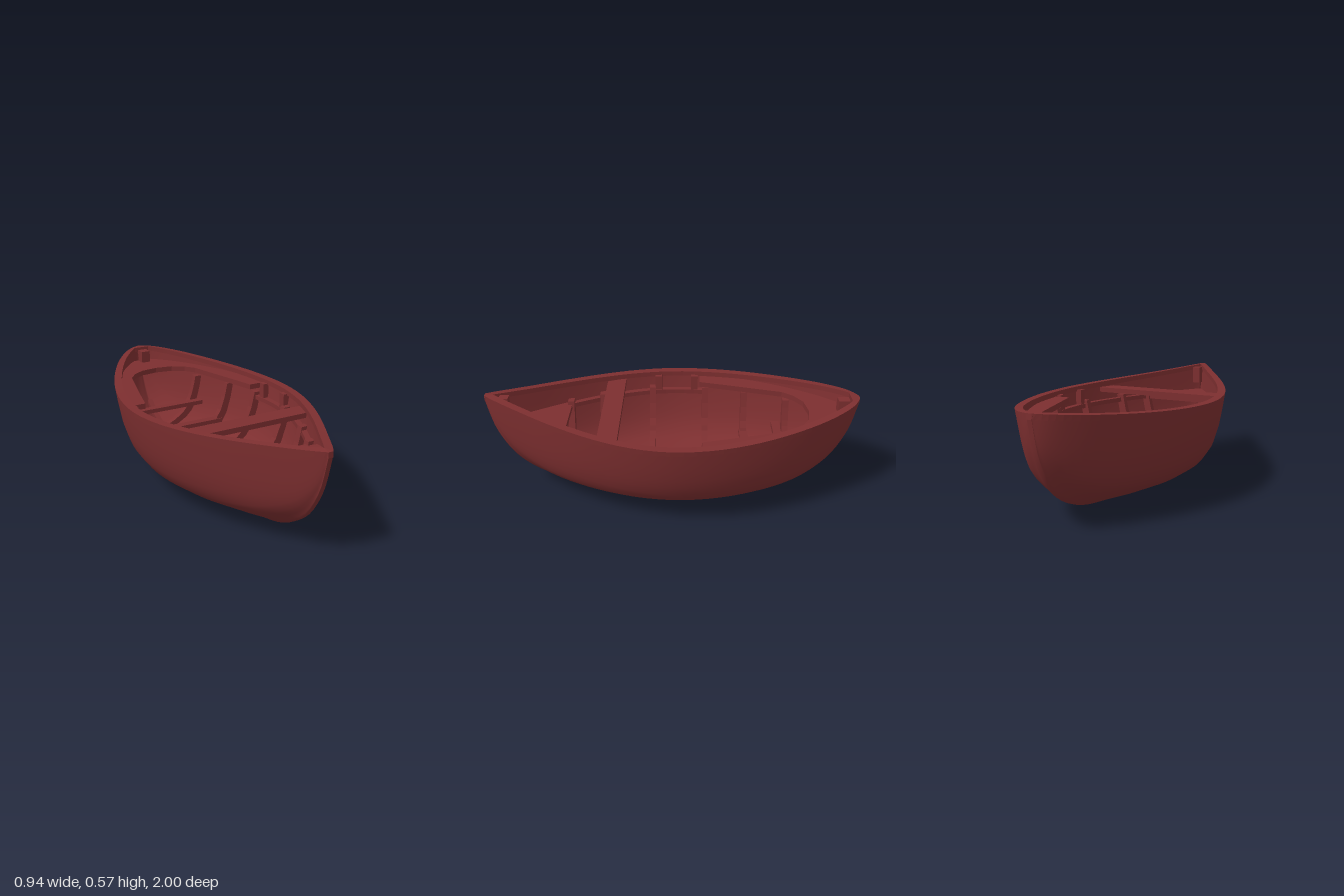
import * as THREE from 'three';

// Smooth function through a short table of [t, value] pairs
const curve = (pts) => {
  const f = new THREE.CubicInterpolant(pts.map(p => p[0]), pts.map(p => p[1]), 1);
  return (t) => f.evaluate(t)[0];
};
const clamp = THREE.MathUtils.clamp, lerp = THREE.MathUtils.lerp;

// Hull lines: half-beam at the rail, keel rise and sheer along the length
const beam = curve([[-1, .012], [-.98, .055], [-.95, .097], [-.9, .145], [-.8, .22], [-.6, .33], [-.4, .41],
  [-.2, .458], [0, .47], [.2, .437], [.4, .364], [.6, .262], [.8, .142], [.9, .08], [.96, .041], [1, .012]]);
const keelRise = curve([[0, 0], [.2, .004], [.4, .02], [.6, .055], [.7, .09], [.8, .15], [.87, .215],
  [.93, .31], [.97, .41], [1, .55]]);
const keel = (z) => keelRise(Math.abs(z));
const sheer = (z) => .515 + .06 * z * z;
// Midship section: height fraction against width fraction
const section = [[0, .02], [.1, .36], [.19, .6], [.28, .745], [.42, .85], [.62, .925], [.87, .98], [1, 1]];
const levels = [0, .04, .1, .15, .19, .235, .28, .35, .42, .52, .62, .75, .87, 1];

// Half-width of the hull at a given station and height
function halfWidth(z, y) {
  const k = keel(z), s = clamp((y - k) / (sheer(z) - k), 0, 1);
  let i = 1;
  while (i < section.length - 1 && s > section[i][0]) i++;
  const [a, b] = [section[i - 1], section[i]];
  const full = lerp(a[1], b[1], (s - a[0]) / (b[0] - a[0]));
  const sharp = Math.pow(s, .75);
  return Math.max(.012, beam(z) * lerp(full, sharp, .6 * Math.pow(Math.abs(z), 5)));
}

// Stations crowd together towards both ends
const stations = Array.from({ length: 49 }, (_, i) => Math.sin((i / 48 - .5) * Math.PI));

// Surface from rows of points
function skin(rows, flip = false) {
  const n = rows[0].length, index = [];
  for (let i = 0; i < rows.length - 1; i++) {
    for (let j = 0; j < n - 1; j++) {
      const a = i * n + j, b = a + n;
      if (flip) index.push(a, a + 1, b, b, a + 1, b + 1);
      else index.push(a, b, a + 1, b, b + 1, a + 1);
    }
  }
  const g = new THREE.BufferGeometry();
  g.setAttribute('position', new THREE.Float32BufferAttribute(rows.flat(2), 3));
  g.setIndex(index);
  g.computeVertexNormals();
  return g;
}

// Hard-edged version of a skin
function facetedSkin(rows) {
  const g = skin(rows).toNonIndexed();
  g.computeVertexNormals();
  return g;
}

// Hull shell, optionally inset for the inside planking
function hullRows(inset) {
  return stations.map(t => {
    const z = t * (1 - inset * 1.3), k = keel(z) + inset, top = sheer(z) - .006;
    const side = levels.map(s => {
      const y = lerp(Math.min(k, top), top, s);
      return [Math.max(.003, halfWidth(z, y - inset * .4) - inset), y, z];
    });
    return [...side.slice().reverse(), ...side.map(([x, y, w]) => [-x, y, w])];
  });
}

// Gunwale ring, its outer face flush with the planking
function railRows() {
  const half = stations.map(z => {
    const zi = z * .955, y = sheer(z), xo = beam(z) + .001, xl = halfWidth(z, y - .028) + .001;
    const xi = Math.max(.002, beam(zi) - .045);
    return [[xl, y - .028, z], [xo, y, z], [xi, y, zi], [xi, y - .028, zi], [xl, y - .028, z]];
  });
  const other = half.map(r => r.map(([x, y, z]) => [-x, y, z])).reverse();
  return [...half, ...other, half[0]];
}

// Horizontal board cut from an [x, z] outline, top face at y
function board(points, y, thick) {
  const shape = new THREE.Shape(points.map(p => new THREE.Vector2(p[0], p[1])));
  const g = new THREE.ExtrudeGeometry(shape, { depth: thick, bevelEnabled: false });
  return g.rotateX(Math.PI / 2).translate(0, y, 0);
}

// Points along one side of the inside of the hull at height y
const sidePoints = (z0, z1, y, inset, n = 14) => Array.from({ length: n + 1 }, (_, i) => {
  const z = lerp(z0, z1, i / n);
  return [Math.max(.002, halfWidth(z, y) - inset), z];
});
const mirrored = (pts) => pts.map(([x, z]) => [-x, z]).reverse();

// Curved frame lying against the planking
function rib(z, width, top) {
  const k = keel(z) + .02, outer = [], inner = [];
  for (const s of levels) {
    const y = lerp(k, top, s), x = Math.max(0, halfWidth(z, y - .01) - .022);
    outer.push([x, y]);
    inner.push([Math.max(0, x - .042 * Math.min(1, s * 2.5)), y + .04 * (1 - s)]);
  }
  outer[0][0] = inner[0][0] = 0;
  // out along the planking from +x to -x, back along the inner edge
  const there = [...outer.slice().reverse(), ...outer.slice(1).map(([x, y]) => [-x, y])];
  const back = [...inner.slice(1).reverse().map(([x, y]) => [-x, y]), ...inner];
  const shape = new THREE.Shape([...there, ...back].map(p => new THREE.Vector2(p[0], p[1])));
  return new THREE.ExtrudeGeometry(shape, { depth: width, bevelEnabled: false }).translate(0, 0, z - width / 2);
}

export function createModel() {
  const boat = new THREE.Group();
  boat.name = 'rowingBoat';
  const paint = new THREE.MeshStandardMaterial({ color: 0x7d2f30, side: THREE.DoubleSide });
  paint.name = 'dark red paint';
  const add = (name, geometry) => {
    const m = new THREE.Mesh(geometry, paint);
    m.name = name;
    boat.add(m);
  };

  // Shell and gunwale
  add('outerHull', skin(hullRows(0)));
  add('innerHull', skin(hullRows(.022), true));
  add('gunwale', facetedSkin(railRows()));

  // Keelson along the floor
  add('keelson', facetedSkin(Array.from({ length: 21 }, (_, i) => {
    const z = lerp(-.85, .85, i / 20), y = keel(z) + .02;
    return [[.016, y, z], [.016, y + .035, z], [-.016, y + .035, z], [-.016, y, z]];
  })));

  // Frames
  for (const z of [-.65, -.42, -.195, .115, .4, .575]) add('rib', rib(z, .036, .43));

  // Low cross beams in the stern
  for (const [z, y, d] of [[-.6, .27, .045], [-.42, .2, .05]]) {
    const w = halfWidth(z, y - .0125) - .03;
    add('crossBeam', new THREE.BoxGeometry(w * 2, .025, d).translate(0, y, z));
  }

  // Stern bench: horseshoe around an arched opening
  const sternY = .49;
  const outside = sidePoints(-.95, -.16, sternY, .012);
  const opening = [[.335, -.16], [.3, -.3], [.26, -.45], [.215, -.62], [.17, -.68], [.1, -.725], [0, -.74]];
  add('sternBench', board([...outside, ...opening, ...mirrored(opening).slice(1), ...mirrored(outside)], sternY, .03));

  // Bow bench
  const bow = sidePoints(.57, .95, .41, .014);
  add('bowBench', board([...bow, ...mirrored(bow)], .41, .025));

  // Rowing thwart
  const thwart = sidePoints(.27, .375, .48, .012, 3);
  add('thwart', board([...thwart, ...mirrored(thwart)], .485, .028));

  // Side stringers and rail blocks, both sides
  const near = sidePoints(-.18, .58, .4, .014), far = sidePoints(-.18, .58, .4, .055).reverse();
  for (const s of [1, -1]) {
    add('stringer', board([...near, ...far].map(([x, z]) => [x * s, z]), .41, .025));
    for (const z of [-.13, .08]) {
      const x = halfWidth(z, .42) - .037;
      add('railBlock', new THREE.BoxGeometry(.035, .1, .04).translate(x * s, .445, z));
    }
  }

  // Posts inside the stem and stern
  add('bowPost', new THREE.BoxGeometry(.045, .1, .05).translate(0, .51, .9));
  add('sternPost', new THREE.BoxGeometry(.055, .1, .06).translate(0, .51, -.92));
  return boat;
}
